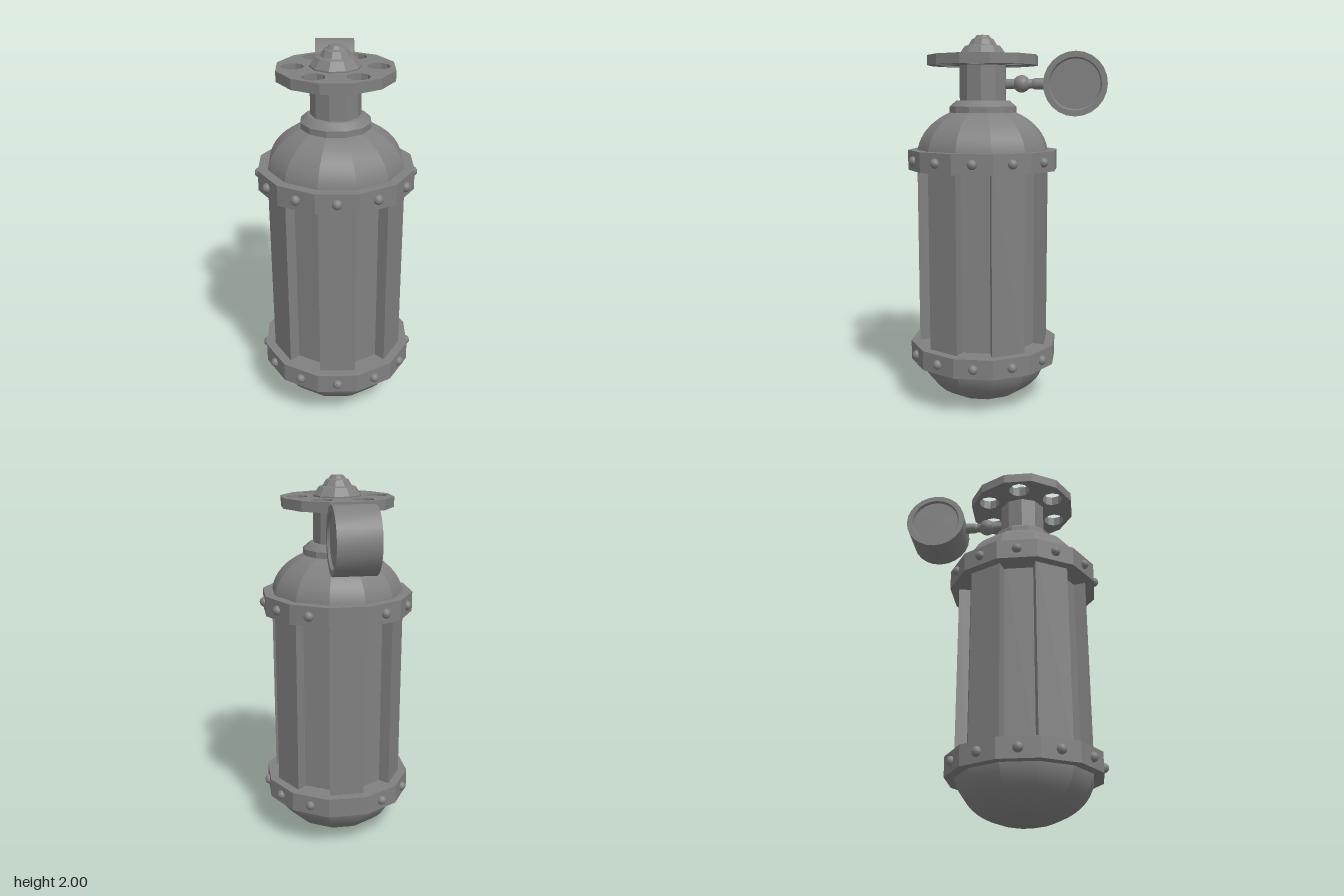
import * as THREE from 'three';
import { toCreasedNormals } from 'three/addons/utils/BufferGeometryUtils.js';

const rad = THREE.MathUtils.degToRad;
const material = new THREE.MeshStandardMaterial({ color: 0x808080 });
const SIDES = 12;

function addMesh(parent, name, geometry) {
  const mesh = new THREE.Mesh(geometry, material);
  mesh.name = name;
  parent.add(mesh);
  return mesh;
}

// Turned solid from [radius, height] points listed bottom to top
function turned(points, sides, crease = 25) {
  const profile = points.map(([r, y]) => new THREE.Vector2(r, y));
  return toCreasedNormals(new THREE.LatheGeometry(profile, sides), rad(crease));
}

// Plan-view point at an angle measured from +z towards +x
function plan(r, degrees) {
  return new THREE.Vector2(r * Math.sin(rad(degrees)), -r * Math.cos(rad(degrees)));
}

// Vertical prism from a plan-view shape
function prism(shape, bottom, top) {
  const geometry = new THREE.ExtrudeGeometry(shape, { depth: top - bottom, bevelEnabled: false });
  return geometry.rotateX(-Math.PI / 2).translate(0, bottom, 0);
}

// Part of an ellipse between two angles, as profile points
function arc(radius, height, centreY, from, to, steps = 12) {
  return Array.from({ length: steps + 1 }, (_, i) => {
    const a = rad(from + ((to - from) * i) / steps);
    return [Math.max(0, radius * Math.cos(a)), centreY + height * Math.sin(a)];
  });
}

export function createModel() {
  const model = new THREE.Group();
  model.name = 'gasTank';
  const tank = new THREE.Group();
  tank.name = 'tank';
  tank.position.set(0.025, 0, 0.093);
  tank.rotation.y = rad(20.3);
  model.add(tank);

  // Body with alternating raised and recessed panels
  const outline = [];
  for (let i = 0; i < SIDES; i++) {
    const radii = i % 2 ? [0.358, 0.295] : [0.295, 0.358];
    radii.forEach((r) => outline.push(plan(r, i * 30)));
  }
  addMesh(tank, 'panelledBody', prism(new THREE.Shape(outline), 0.26, 1.37));

  // Domed ends, smooth up each panel with creases between panels
  addMesh(tank, 'bottomDome', turned([...arc(0.358, 0.26, 0.26, -90, 0), [0, 0.26]], SIDES, 13));
  addMesh(tank, 'topDome', turned([[0, 1.365], ...arc(0.358, 0.265, 1.365, 0, 64)], SIDES, 13));

  // Riveted bands; the rivet beneath the gauge is left out
  for (const [prefix, y] of [['lower', 0.282], ['upper', 1.342]]) {
    const band = new THREE.Group();
    band.name = `${prefix}Band`;
    band.position.y = y;
    tank.add(band);
    addMesh(band, 'bandRing', turned(
      [[0.285, -0.053], [0.407, -0.053], [0.407, 0.053], [0.285, 0.053]], SIDES));
    for (let i = 0; i < SIDES; i++) {
      if (i === 6) continue;
      const a = rad(15 + i * 30);
      addMesh(band, 'rivet', new THREE.SphereGeometry(0.026, 10, 8))
        .position.set(0.394 * Math.sin(a), 0, 0.394 * Math.cos(a));
    }
  }

  // Collar and neck
  addMesh(tank, 'collar', turned(
    [[0.182, 1.57], [0.182, 1.625], [0.145, 1.657], [0, 1.657]], SIDES));
  addMesh(tank, 'neck', turned([[0.128, 1.64], [0.128, 1.87]], 10));

  // Valve wheel with six holes
  const ring = (r, sides) => Array.from({ length: sides }, (_, i) => plan(r, (i * 360) / sides));
  const wheel = new THREE.Shape(ring(0.298, SIDES));
  for (let i = 0; i < 6; i++) {
    const centre = plan(0.21, 45 + i * 60);
    wheel.holes.push(new THREE.Path(ring(0.057, 10).map((p) => p.add(centre))));
  }
  addMesh(tank, 'valveWheel', prism(wheel, 1.842, 1.895));

  // Stepped cap over the wheel
  addMesh(tank, 'wheelCap', turned([
    [0.128, 1.885], [0.128, 1.902], [0.098, 1.943], [0.078, 1.948],
    [0.06, 1.978], [0.045, 1.985], [0.033, 2], [0, 2],
  ], 10));

  // Gauge on its stem, pointing outwards along its own z
  const gauge = new THREE.Group();
  gauge.name = 'gauge';
  gauge.position.y = 1.745;
  gauge.rotation.y = rad(195);
  tank.add(gauge);
  const stem = turned([
    [0.026, 0.1], [0.026, 0.16], ...arc(0.046, 0.046, 0.208, -55, 55),
    [0.024, 0.265], [0.03, 0.28], [0.03, 0.36],
  ], 16).rotateX(Math.PI / 2);
  addMesh(gauge, 'gaugeStem', stem);

  // Drum lies on its side, with a shallow recessed dial on both faces
  const drum = turned([
    [0, -0.093], [0.13, -0.093], [0.137, -0.106], [0.167, -0.106],
    [0.167, 0.106], [0.137, 0.106], [0.13, 0.093], [0, 0.093],
  ], 24).rotateZ(Math.PI / 2);
  addMesh(gauge, 'gaugeDrum', drum).position.set(0, -0.003, 0.496);

  return model;
}
